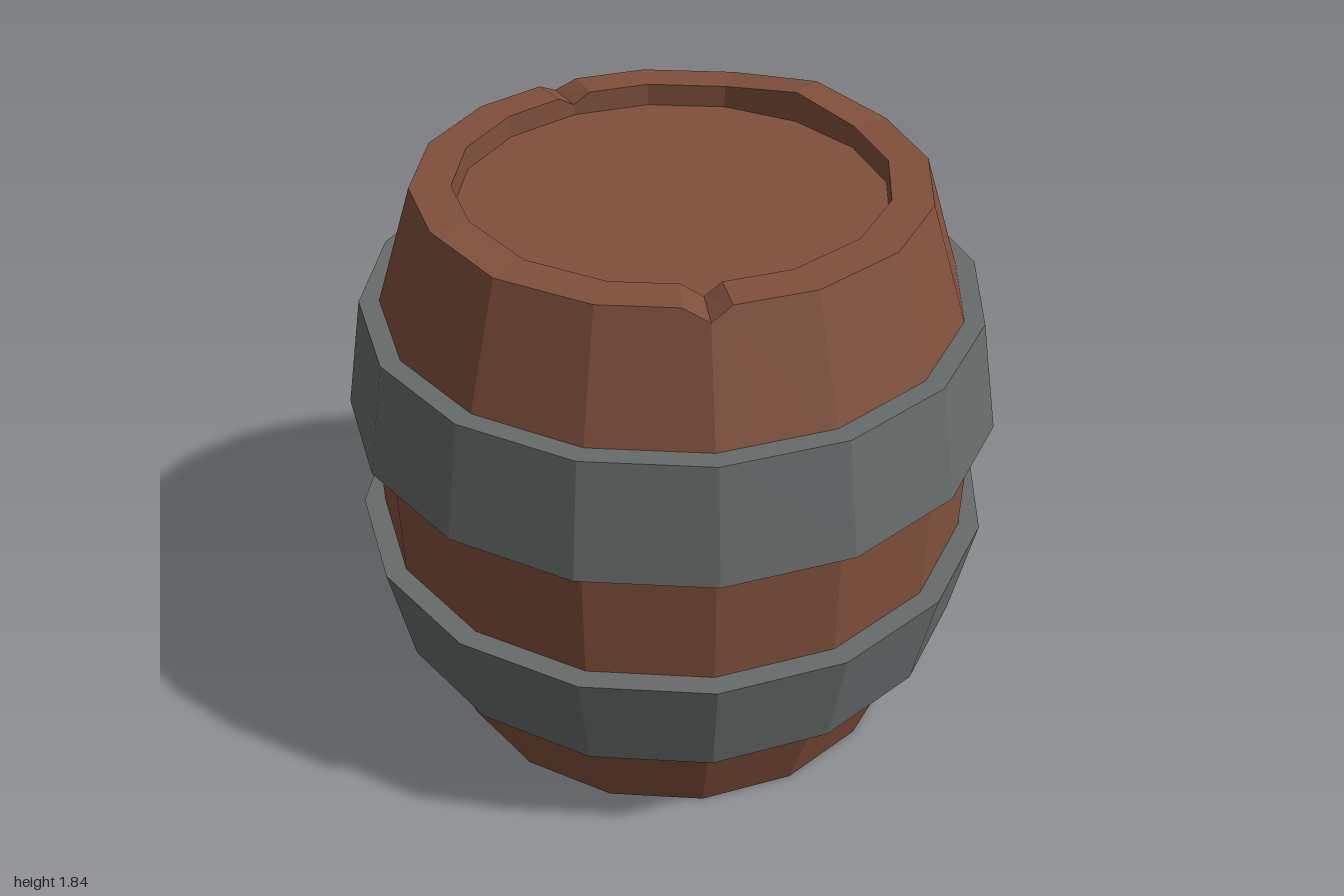
import * as THREE from 'three';

const SIDES = 16;
const STEP = 360 / SIDES;
const RIM_Y = 1.81;

// Uneven rim: angle in degrees (0 = front, 90 = +x) -> height offset
const RIM_OFFSETS = { 112.5: 0.028, 180: -0.035, 270: 0.012, 337.5: -0.035 };
// Extra corners either side of the two notches
const NOTCH_EDGES = [175, 185, 332, 342];

const wood = new THREE.MeshStandardMaterial({ color: 0x7f503b, flatShading: true });
const iron = new THREE.MeshStandardMaterial({ color: 0x676b6a, flatShading: true });

// Point at an angle on a 16-sided ring (on the straight edge between corners)
function ringPoint(deg, r, y) {
  const half = STEP / 2;
  const rad = THREE.MathUtils.degToRad;
  const d = r * Math.cos(rad(half)) / Math.cos(rad((deg % STEP) - half));
  return [d * Math.sin(rad(deg)), y, d * Math.cos(rad(deg))];
}

// Staves, rim and recessed ends as one shell of stacked rings
function bodyGeometry() {
  const angles = Array.from({ length: SIDES }, (_, i) => i * STEP)
    .concat(NOTCH_EDGES).sort((a, b) => a - b);
  const n = angles.length;
  // radius, height, follows the uneven rim
  const rings = [
    [0, 0.07], [0.635, 0.07], [0.635, 0], [0.755, 0],
    [0.875, 0.36], [0.935, 0.71], [0.935, 1.1], [0.875, 1.45],
    [0.755, RIM_Y, true], [0.635, RIM_Y, true], [0.635, 1.74], [0, 1.74],
  ];
  const positions = [];
  const index = [];
  rings.forEach(([r, y, isRim], k) => {
    angles.forEach((deg, i) => {
      const dy = isRim ? RIM_OFFSETS[deg] || 0 : 0;
      const lean = r > 0.7 ? -dy / 3 : 0; // outer edge stays on the sloping side
      positions.push(...ringPoint(deg, r + lean, y + dy));
      if (k === 0) return;
      const j = (i + 1) % n;
      const a = (k - 1) * n + i, b = (k - 1) * n + j, c = k * n + j, d = k * n + i;
      if (k > 1) index.push(a, b, d);
      if (k < rings.length - 1) index.push(b, c, d);
    });
  });
  const geo = new THREE.BufferGeometry();
  geo.setAttribute('position', new THREE.Float32BufferAttribute(positions, 3));
  geo.setIndex(index);
  const flat = geo.toNonIndexed();
  flat.computeVertexNormals();
  return flat;
}

// Tapered iron hoop with a closed section
function hoop(name, y0, r0, y1, r1) {
  const t = 0.1;
  const profile = [[r0 - t, y0], [r0, y0], [r1, y1], [r1 - t, y1], [r0 - t, y0]]
    .map(([r, y]) => new THREE.Vector2(r, y));
  const mesh = new THREE.Mesh(new THREE.LatheGeometry(profile, SIDES), iron);
  mesh.name = name;
  return mesh;
}

export function createModel() {
  const barrel = new THREE.Group();
  barrel.name = 'barrel';

  const body = new THREE.Mesh(bodyGeometry(), wood);
  body.name = 'woodenBody';

  barrel.add(
    body,
    hoop('lowerHoop', 0.36, 0.935, 0.71, 1),
    hoop('upperHoop', 1.1, 1, 1.45, 0.935),
  );
  return barrel;
}
